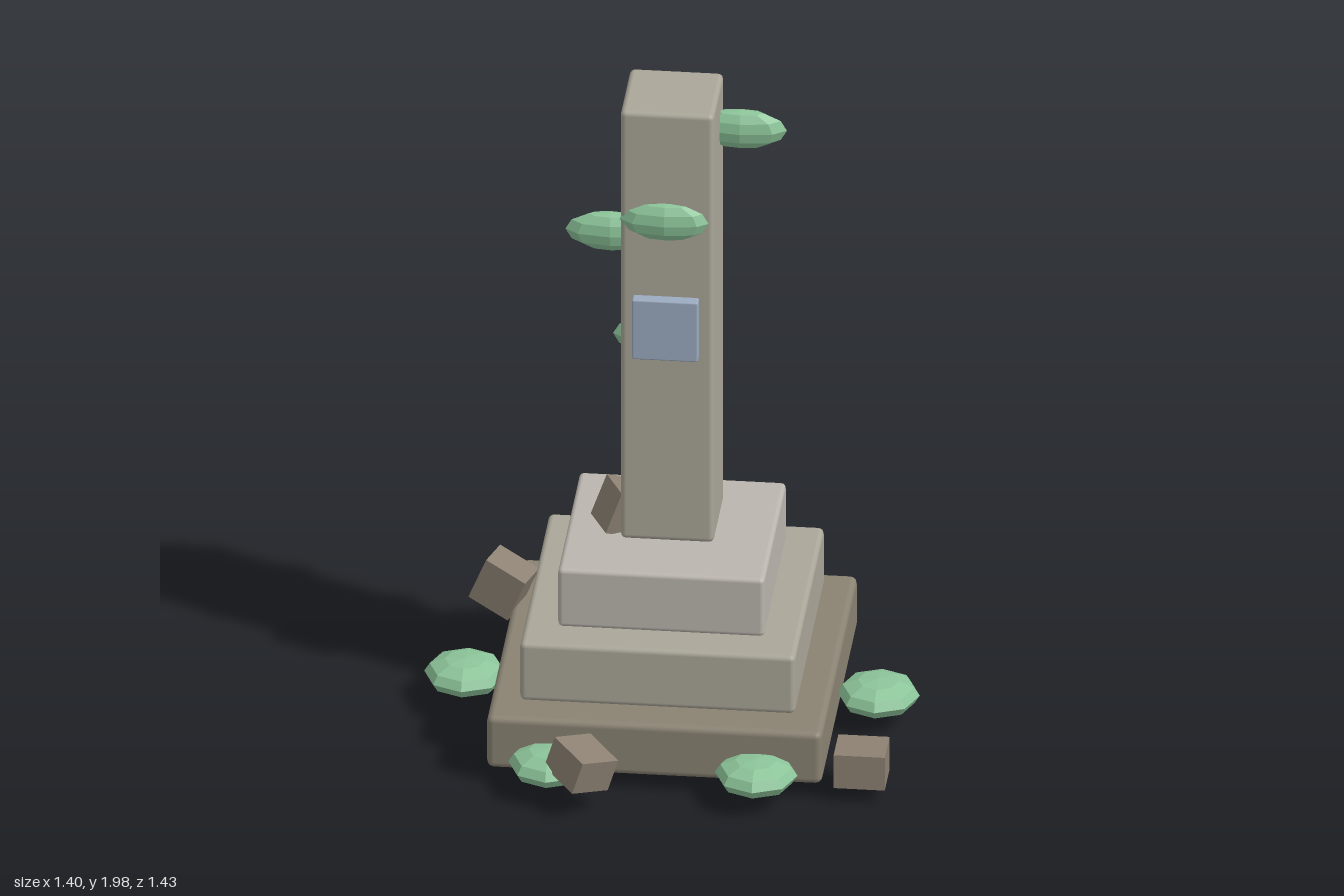
import * as THREE from 'three';
import { RoundedBoxGeometry } from 'three/addons/geometries/RoundedBoxGeometry.js';

const mat = (color, flatShading = false) => {
  const m = new THREE.MeshStandardMaterial({ flatShading });
  m.color.set(color);
  return m;
};
const darkStone = mat(0x8a8373);
const stone = mat(0xaaa699);
const paleStone = mat(0xbbb5ae);
const rubbleStone = mat(0x8c8172, true);
const moss = mat(0x8cc499, true);
const slate = mat(0x9cabc0);

export function createModel() {
  const model = new THREE.Group();
  const add = (name, geometry, material, position) => {
    const mesh = new THREE.Mesh(geometry, material);
    mesh.name = name;
    mesh.position.set(...position);
    model.add(mesh);
    return mesh;
  };
  const axisZ = 0.03; // centre line of the monument

  // Stepped plinth and pillar: width, bottom, top
  const block = (name, w, y0, y1, material, bevel) =>
    add(name, new RoundedBoxGeometry(w, y1 - y0, w, 2, bevel), material, [0, (y0 + y1) / 2, axisZ]);
  block('lowerStep', 0.95, 0.06, 0.225, darkStone, 0.02);
  block('middleStep', 0.78, 0.235, 0.42, stone, 0.016);
  block('upperStep', 0.585, 0.425, 0.61, paleStone, 0.014);
  block('pillar', 0.265, 0.63, 2, stone, 0.016);

  // Plaque in front of the pillar
  add('plaque', new RoundedBoxGeometry(0.187, 0.19, 0.036, 2, 0.005), slate, [0, 1.335, 0.203]);

  // Moss: flattened low-poly spheres
  const ball = new THREE.SphereGeometry(1, 8, 6);
  const mossClump = (name, position, radii) => add(name, ball, moss, position).scale.set(...radii);

  // Ring of six clumps around the base
  for (let i = 0; i < 6; i++) {
    const a = (i * Math.PI) / 3;
    mossClump('groundMoss', [0.585 * Math.cos(a), 0.105, axisZ + 0.585 * Math.sin(a)], [0.117, 0.05, 0.117]);
  }

  // Clumps growing on the pillar
  for (const p of [
    [0.19, 1.865, -0.023],
    [-0.172, 1.545, 0.03],
    [-0.005, 1.655, 0.157],
    [-0.055, 1.125, -0.14],
  ]) mossClump('pillarMoss', p, [0.13, 0.06, 0.04]);

  // Fallen rubble: position, size, rotation
  for (const [p, s, r] of [
    [[0.582, 0.112, 0.452], [0.145, 0.105, 0.125], [0, 0, 0]],
    [[-0.5, 0.28, -0.19], [0.13, 0.14, 0.1], [0, -0.3, -0.4]],
    [[-0.195, 0.15, 0.612], [0.13, 0.1, 0.14], [0.25, 0.7, -0.4]],
    [[-0.207, 0.11, -0.62], [0.125, 0.15, 0.11], [-0.6, 0.25, 0.2]],
    [[-0.135, 0.662, 0.025], [0.12, 0.13, 0.11], [0.1, 0.5, -0.4]],
  ]) add('rubble', new THREE.BoxGeometry(...s), rubbleStone, p).rotation.set(...r);

  return model;
}
